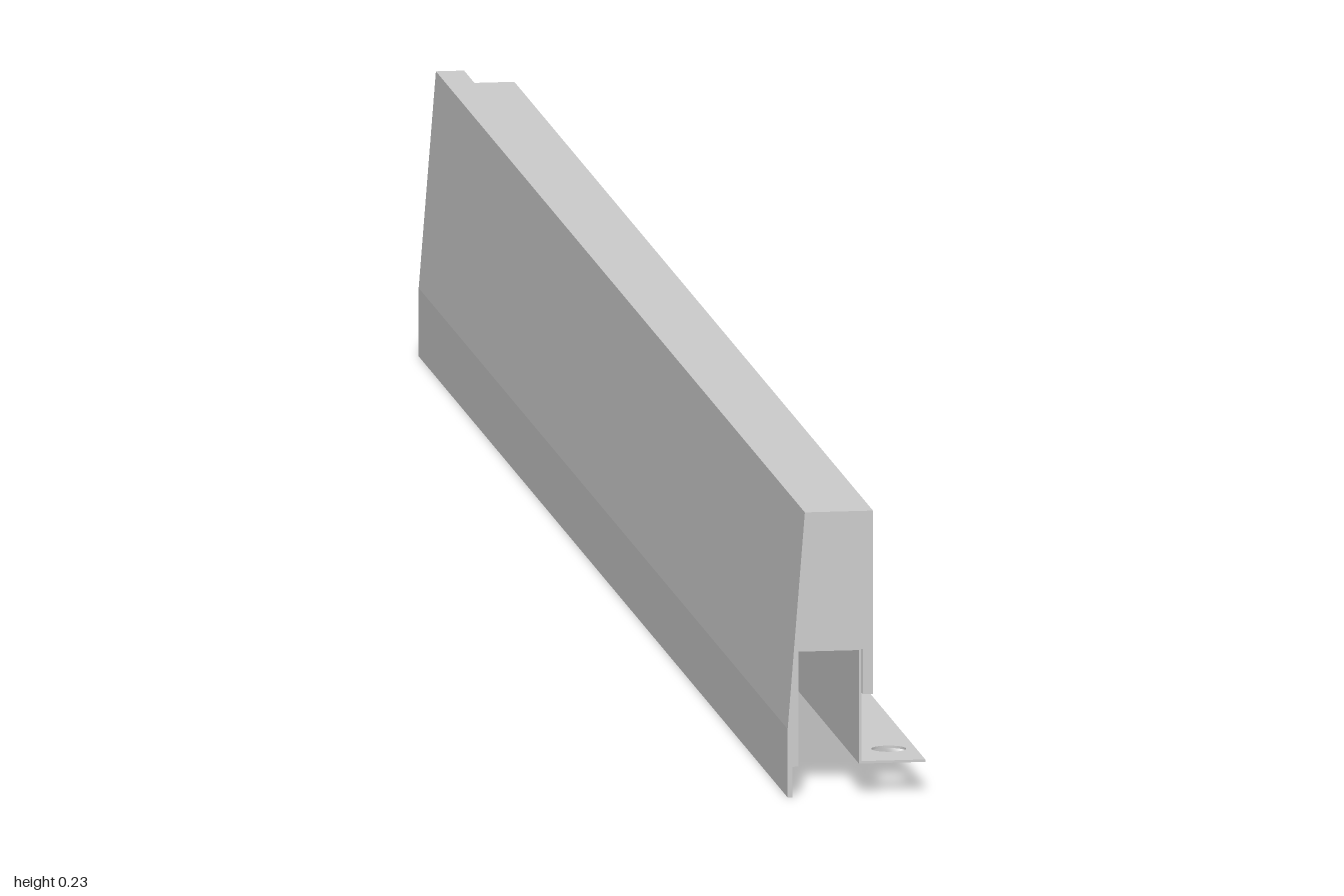
import * as THREE from 'three';

const material = new THREE.MeshStandardMaterial({ color: 0xcccccc, flatShading: true });

const toShape = (points) => new THREE.Shape(points.map(([x, y]) => new THREE.Vector2(x, y)));

// Straight extrusion of an x-y section between two z positions
function addRail(group, name, points, zBack, zFront) {
  const geometry = new THREE.ExtrudeGeometry(toShape(points), { depth: zFront - zBack, bevelEnabled: false });
  geometry.translate(0, 0, zBack);
  const mesh = new THREE.Mesh(geometry, material);
  mesh.name = name;
  group.add(mesh);
}

export function createModel() {
  const model = new THREE.Group();
  model.name = 'railAssembly';

  const notchZ = -0.944; // back end of the full section
  const sheetBack = -0.96;
  const sheetFront = 0.994;
  const ceiling = 0.12;
  const t = 0.002; // sheet thickness

  // Outer skirt, shared by both body sections: inner ledge, lip, sloped side
  const skirt = [
    [-0.048, ceiling], [-0.048, 0.025], [-0.053, 0.025], [-0.053, 0],
    [-0.057, 0], [-0.057, 0.056], [-0.043, 0.233],
  ];

  // Main body with its short inner leg
  addRail(model, 'railBody', [
    ...skirt, [0.0125, 0.233], [0.0125, 0.083], [0.004, 0.083], [0.004, ceiling],
  ], notchZ, 1);

  // Narrow end left by the corner notch
  addRail(model, 'railNotchedEnd', [...skirt, [-0.02, 0.233], [-0.02, ceiling]], -1, notchZ);

  // Sheet strip along the cavity ceiling
  const bracket = new THREE.Group();
  bracket.name = 'mountingBracket';
  model.add(bracket);
  addRail(bracket, 'bracketTop', [
    [-0.048, ceiling - t], [0.004, ceiling - t], [0.004, ceiling], [-0.048, ceiling],
  ], sheetBack, sheetFront);

  // Upright web, its lower back corner cut away; drawn in z-y and turned to face x
  const web = new THREE.ExtrudeGeometry(toShape([
    [-sheetFront, 0.025], [0.928, 0.025], [0.928, 0.035],
    [-sheetBack, 0.035], [-sheetBack, ceiling], [-sheetFront, ceiling],
  ]), { depth: t, bevelEnabled: false });
  web.rotateY(Math.PI / 2).translate(0.002, 0, 0);
  const webMesh = new THREE.Mesh(web, material);
  webMesh.name = 'bracketWeb';
  bracket.add(webMesh);

  // Foot flange with screw holes; drawn in x-z and laid flat
  const foot = toShape([[0.002, -sheetFront], [0.056, -sheetFront], [0.056, 0.93], [0.002, 0.93]]);
  for (const z of [0.074, 0.508, 0.942]) {
    foot.holes.push(new THREE.Path().absarc(0.034, -z, 0.014, 0, Math.PI * 2, true));
  }
  const footGeometry = new THREE.ExtrudeGeometry(foot, { depth: t, bevelEnabled: false, curveSegments: 24 });
  footGeometry.rotateX(-Math.PI / 2).translate(0, 0.025, 0);
  const footMesh = new THREE.Mesh(footGeometry, material);
  footMesh.name = 'bracketFoot';
  bracket.add(footMesh);

  return model;
}
